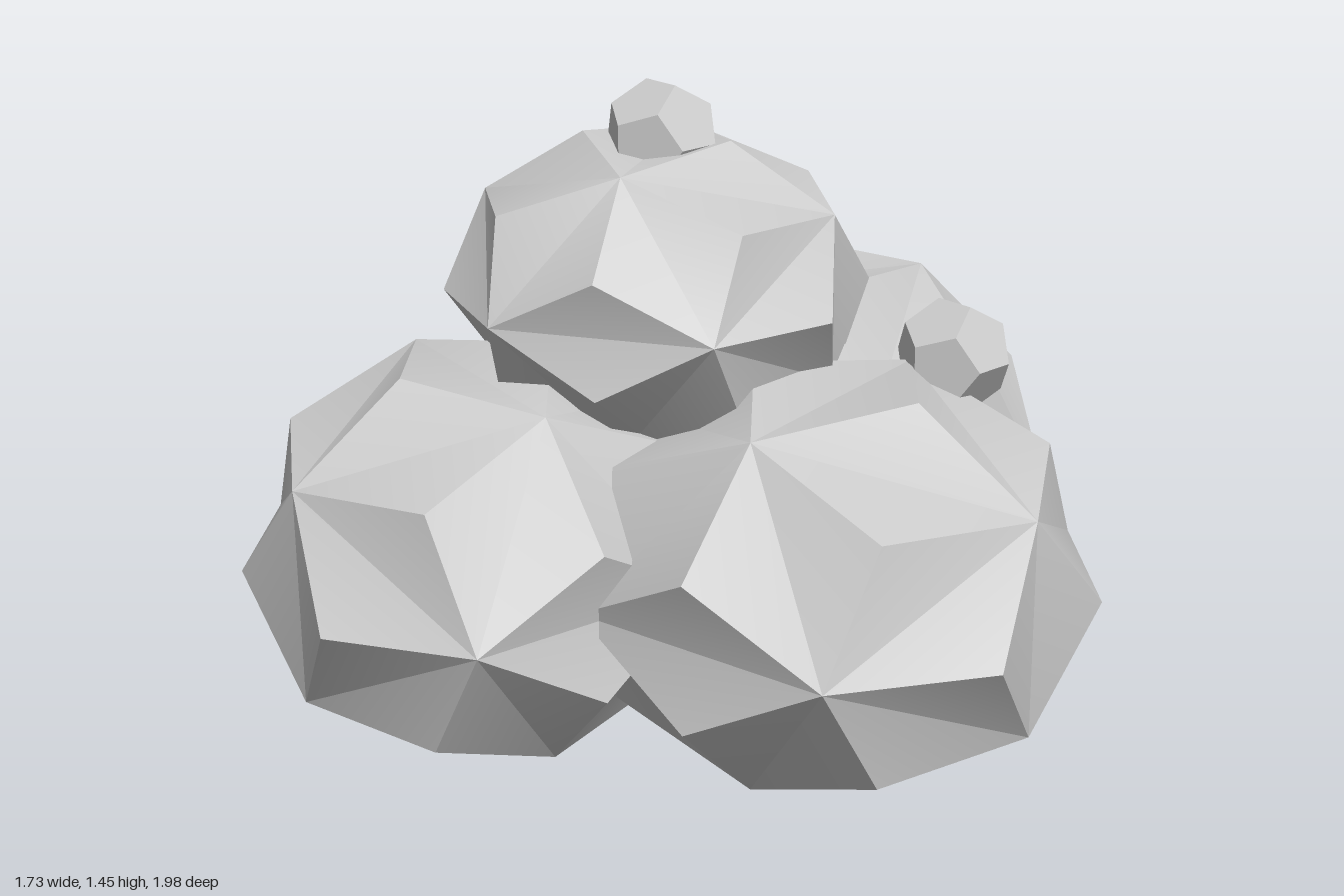
import * as THREE from 'three';
import { toCreasedNormals } from 'three/addons/utils/BufferGeometryUtils.js';

// Unit boulder: an icosahedron whose every face is raised to a point on the sphere
function boulderGeometry() {
  const src = new THREE.IcosahedronGeometry(1, 0).getAttribute('position');
  const out = [];
  for (let i = 0; i < src.count; i += 3) {
    const [a, b, c] = [0, 1, 2].map((k) => new THREE.Vector3().fromBufferAttribute(src, i + k));
    const tip = new THREE.Vector3().add(a).add(b).add(c).normalize();
    for (const [p, q] of [[a, b], [b, c], [c, a]]) {
      out.push(...p.toArray(), ...q.toArray(), ...tip.toArray());
    }
  }
  const geometry = new THREE.BufferGeometry();
  geometry.setAttribute('position', new THREE.Float32BufferAttribute(out, 3));
  return geometry;
}

// Each boulder: centre, half-height, and its two horizontal axes as [x, z]
const BOULDERS = [
  { name: 'frontBoulder', at: [-0.35, 0.465, 0.46], height: 0.46, u: [0.56, 0.098], v: [-0.043, 0.54] },
  { name: 'leftBoulder', at: [0.27, 0.465, 0], height: 0.46, u: [-0.126, -0.574], v: [0.583, -0.1] },
  { name: 'backBoulder', at: [-0.22, 0.49, -0.36], height: 0.522, u: [-0.226, 0.557], v: [-0.573, -0.288] },
  { name: 'topBoulder', at: [-0.22, 1.01, 0.06], height: 0.355, u: [0.24, 0.396], v: [-0.397, 0.243] },
];

const PEBBLES = [
  { name: 'topPebble', at: [-0.22, 1.335, 0.045] },
  { name: 'leftPebble', at: [0.265, 0.865, -0.37] },
  { name: 'rightPebble', at: [-0.62, 0.865, -0.08] },
];

export function createModel() {
  const group = new THREE.Group();
  group.name = 'rockPile';
  const smooth = new THREE.MeshStandardMaterial({ color: 0xcccccc });
  const flat = new THREE.MeshStandardMaterial({ color: 0xcccccc, flatShading: true });

  // Large boulders, soft within each diamond facet and sharp between them
  const boulder = boulderGeometry();
  for (const { name, at, height, u, v } of BOULDERS) {
    const shape = new THREE.Matrix4().makeBasis(
      new THREE.Vector3(u[0], 0, u[1]),
      new THREE.Vector3(0, height, 0),
      new THREE.Vector3(v[0], 0, v[1]),
    );
    const geometry = toCreasedNormals(boulder.clone().applyMatrix4(shape), THREE.MathUtils.degToRad(36));
    const mesh = new THREE.Mesh(geometry, smooth);
    mesh.name = name;
    mesh.position.set(...at);
    group.add(mesh);
  }

  // Small pebbles resting in the gaps and on the summit
  const pebble = new THREE.DodecahedronGeometry(0.13, 0);
  for (const { name, at } of PEBBLES) {
    const mesh = new THREE.Mesh(pebble, flat);
    mesh.name = name;
    mesh.position.set(...at);
    group.add(mesh);
  }
  return group;
}
